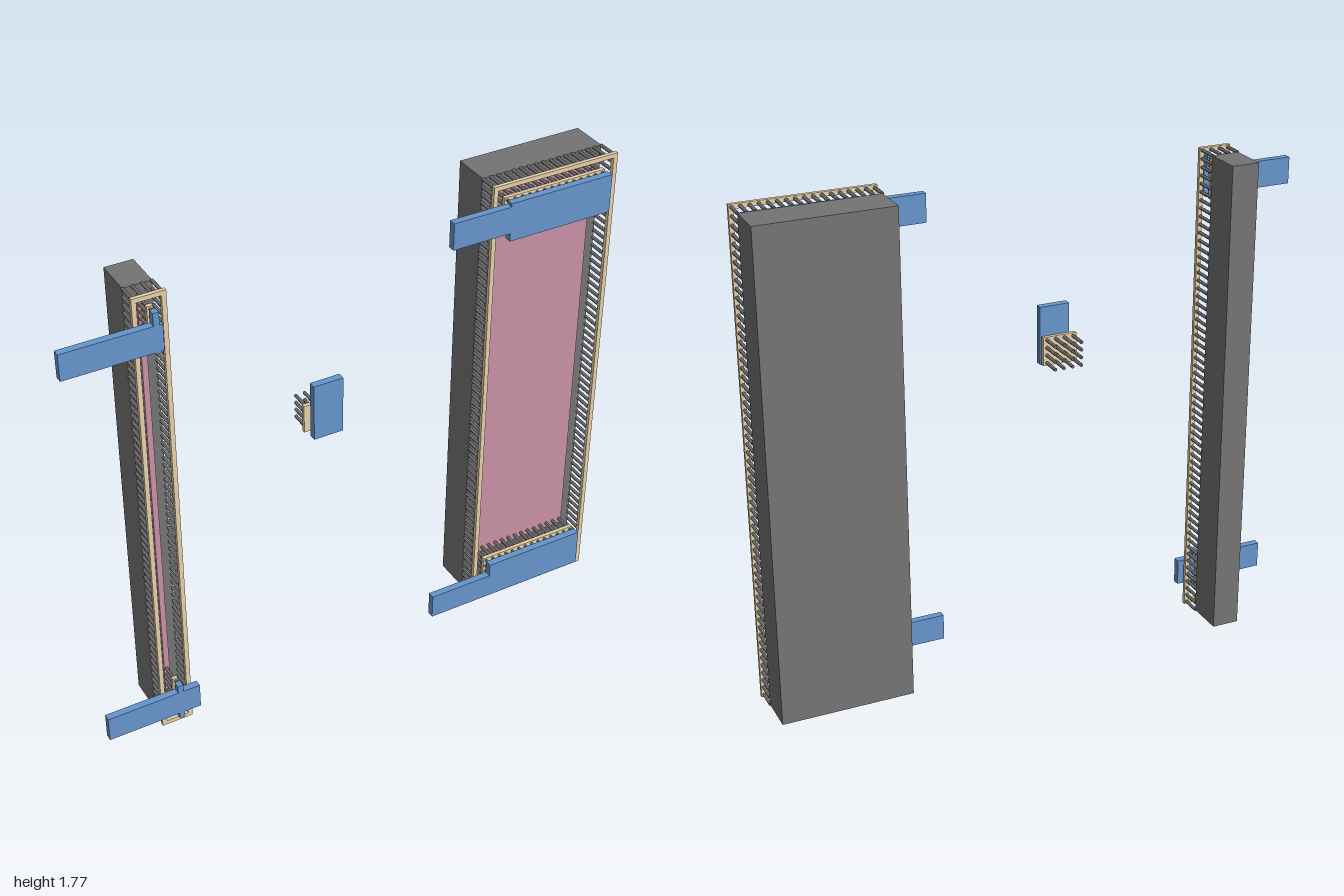
import * as THREE from 'three';
import { mergeGeometries } from 'three/addons/utils/BufferGeometryUtils.js';

const mat = (color) => new THREE.MeshStandardMaterial({ color });
const grey = mat(0x747474), pinGrey = mat(0x6a6a6a), tan = mat(0xe6cfa8), pink = mat(0xc890a4), blue = mat(0x6694cc);

// Depths of the layers, back to front
const BACK = -0.13, FACE = 0.006, PAD = 0.016, RING = 0.074, RING_FRONT = 0.088, PLATE = 0.104, FRONT = 0.13;
const PITCH = 0.029;

// Box given by its limits
function boxGeo(x0, x1, y0, y1, z0, z1) {
  return new THREE.BoxGeometry(x1 - x0, y1 - y0, z1 - z0)
    .translate((x0 + x1) / 2, (y0 + y1) / 2, (z0 + z1) / 2);
}
function slab(name, material, ...limits) {
  const mesh = new THREE.Mesh(boxGeo(...limits), material);
  mesh.name = name;
  return mesh;
}

// Evenly spaced positions from a to b
function spread(a, b, pitch = PITCH) {
  const n = Math.max(1, Math.round((b - a) / pitch));
  return Array.from({ length: n + 1 }, (_, i) => a + (b - a) * i / n);
}

// One merged mesh of pins pointing along z
function pins(name, points, z0, z1, r = 0.006) {
  const base = new THREE.CylinderGeometry(r, r, z1 - z0, 8).rotateX(Math.PI / 2);
  const mesh = new THREE.Mesh(
    mergeGeometries(points.map(([x, y]) => base.clone().translate(x, y, (z0 + z1) / 2))), pinGrey);
  mesh.name = name;
  return mesh;
}
const gridPoints = (xs, ys) => xs.flatMap((x) => ys.map((y) => [x, y]));

// Flat rectangular frame with an open middle
function frame(x0, x1, y0, y1, w) {
  const rect = (Type, a, b, c, d) => new Type([[a, c], [b, c], [b, d], [a, d]].map((p) => new THREE.Vector2(...p)));
  const shape = rect(THREE.Shape, x0, x1, y0, y1);
  shape.holes.push(rect(THREE.Path, x0 + w, x1 - w, y0 + w, y1 - w));
  const geo = new THREE.ExtrudeGeometry(shape, { depth: RING_FRONT - RING, bevelEnabled: false });
  const mesh = new THREE.Mesh(geo.translate(0, 0, RING), tan);
  mesh.name = 'frame';
  return mesh;
}

// Tall block with a pad on its face and a frame held on pins
function tower(name, [x0, x1, y0, y1], padX, padY) {
  const g = new THREE.Group();
  g.name = name;
  g.add(slab('block', grey, x0 + 0.008, x1 - 0.008, y0 + 0.008, y1 - 0.008, BACK, FACE));
  g.add(slab('pad', pink, ...padX, ...padY, FACE, PAD));
  g.add(frame(x0, x1, y0, y1, 0.016));
  const e = 0.009;
  const xs = spread(x0 + e, x1 - e), ys = spread(y0 + e, y1 - e);
  g.add(pins('framePins', [
    ...gridPoints([x0 + e, x1 - e], ys),
    ...gridPoints(xs.slice(1, -1), [y0 + e, y1 - e]),
  ], FACE, RING));
  return g;
}

// Terminal: backing plate on pins, with a contact plate and a side arm in front
function terminal(name, [x0, x1, y0, y1], arm) {
  const g = new THREE.Group();
  g.name = name;
  g.add(slab('contactPlate', blue, x0, x1, y0, y1, PLATE, FRONT));
  if (arm) g.add(slab('arm', blue, ...arm, PLATE, FRONT));
  g.add(slab('backingPlate', tan, x0, x1, y0, y1, RING, RING_FRONT));
  const wide = x1 - x0 > 0.05;
  const xs = wide ? spread(x0 + 0.01, x1 - 0.01) : [(x0 + x1) / 2];
  const points = gridPoints(xs, spread(y0 + 0.01, y1 - 0.01, 0.026));
  g.add(pins('backPins', points, PAD, RING));
  g.add(pins('frontPins', points, RING_FRONT, PLATE, 0.005));
  return g;
}

export function createModel() {
  const model = new THREE.Group();
  model.name = 'model';

  // Narrow tower
  const narrow = tower('narrowTower', [-0.743, -0.629, 0, 1.745], [-0.693, -0.673], [0.05, 1.7]);
  narrow.add(terminal('upperTerminal', [-0.695, -0.675, 1.56, 1.705], [-1, -0.664, 1.566, 1.66]));
  narrow.add(terminal('lowerTerminal', [-0.695, -0.675, 0.05, 0.197], [-0.955, -0.614, 0.073, 0.168]));
  model.add(narrow);

  // Wide tower
  const wide = tower('wideTower', [0.52, 1, 0.028, 1.77], [0.562, 0.952], [0.075, 1.72]);
  wide.add(terminal('upperTerminal', [0.562, 0.952, 1.583, 1.722], [0.347, 0.562, 1.612, 1.71]));
  wide.add(terminal('lowerTerminal', [0.562, 0.952, 0.073, 0.216], [0.32, 0.562, 0.073, 0.166]));
  model.add(wide);

  // Small connector between the towers
  const small = new THREE.Group();
  small.name = 'smallConnector';
  small.add(slab('contactPlate', blue, -0.16, -0.053, 1.05, 1.258, PLATE, FRONT));
  small.add(slab('backingPlate', tan, -0.174, -0.051, 1.057, 1.16, RING, RING_FRONT));
  small.add(pins('backPins', gridPoints(spread(-0.161, -0.064), spread(1.067, 1.15, 0.027)), FACE, RING));
  small.add(pins('frontPins', gridPoints(spread(-0.142, -0.084), spread(1.08, 1.135)), RING_FRONT, PLATE, 0.005));
  model.add(small);

  return model;
}
